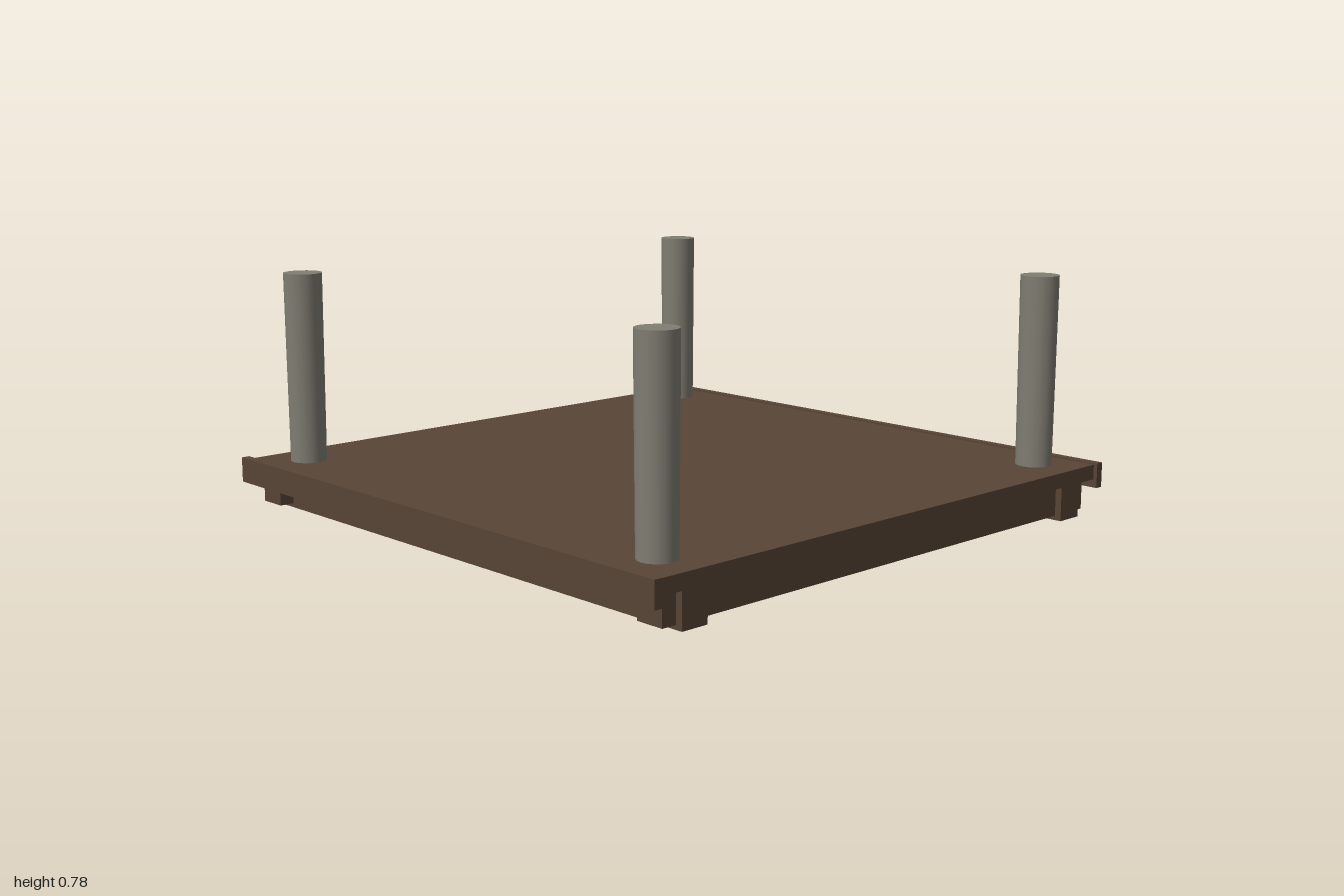
import * as THREE from 'three';

export function createModel() {
  const model = new THREE.Group();
  model.name = 'platform';

  const wood = new THREE.MeshStandardMaterial({ color: 0x584536 });
  wood.name = 'dark wood';
  const stone = new THREE.MeshStandardMaterial({ color: 0x807d72 });
  stone.name = 'grey post';

  // Box given by its lower and upper corners
  function box(name, [x0, y0, z0], [x1, y1, z1]) {
    const mesh = new THREE.Mesh(new THREE.BoxGeometry(x1 - x0, y1 - y0, z1 - z0), wood);
    mesh.position.set((x0 + x1) / 2, (y0 + y1) / 2, (z0 + z1) / 2);
    mesh.name = name;
    model.add(mesh);
    return mesh;
  }

  // Deck boarding
  box('deck', [-0.987, 0.11, -0.975], [0.987, 0.159, 0.975]);

  // Edge boards and the cross beams under the deck, front and back
  for (const s of [1, -1]) {
    const end = s > 0 ? 'front' : 'back';
    box(end + 'EdgeBoard', [-1, 0.083, -0.0135], [1, 0.165, 0.0135]).position.z = s * 0.9865;
    box(end + 'CrossBeam', [-0.987, 0, -0.047], [0.987, 0.11, 0.047]).position.z = s * 0.843;
  }

  // Side beams running front to back, lapped over the cross beams
  for (const s of [1, -1]) {
    const side = s > 0 ? 'left' : 'right';
    box(side + 'SideBeam', [-0.048, 0.014, -0.94], [0.048, 0.11, 0.94]).position.x = s * 0.917;
  }

  // Slightly tapered round posts, wider at the top
  const postGeometry = new THREE.CylinderGeometry(0.063, 0.059, 0.66, 16);
  for (const x of [0.842, -0.842]) {
    for (const z of [0.842, -0.842]) {
      const post = new THREE.Mesh(postGeometry, stone);
      post.position.set(x, 0.45, z);
      post.name = (z > 0 ? 'front' : 'back') + (x > 0 ? 'Left' : 'Right') + 'Post';
      model.add(post);
    }
  }

  return model;
}
